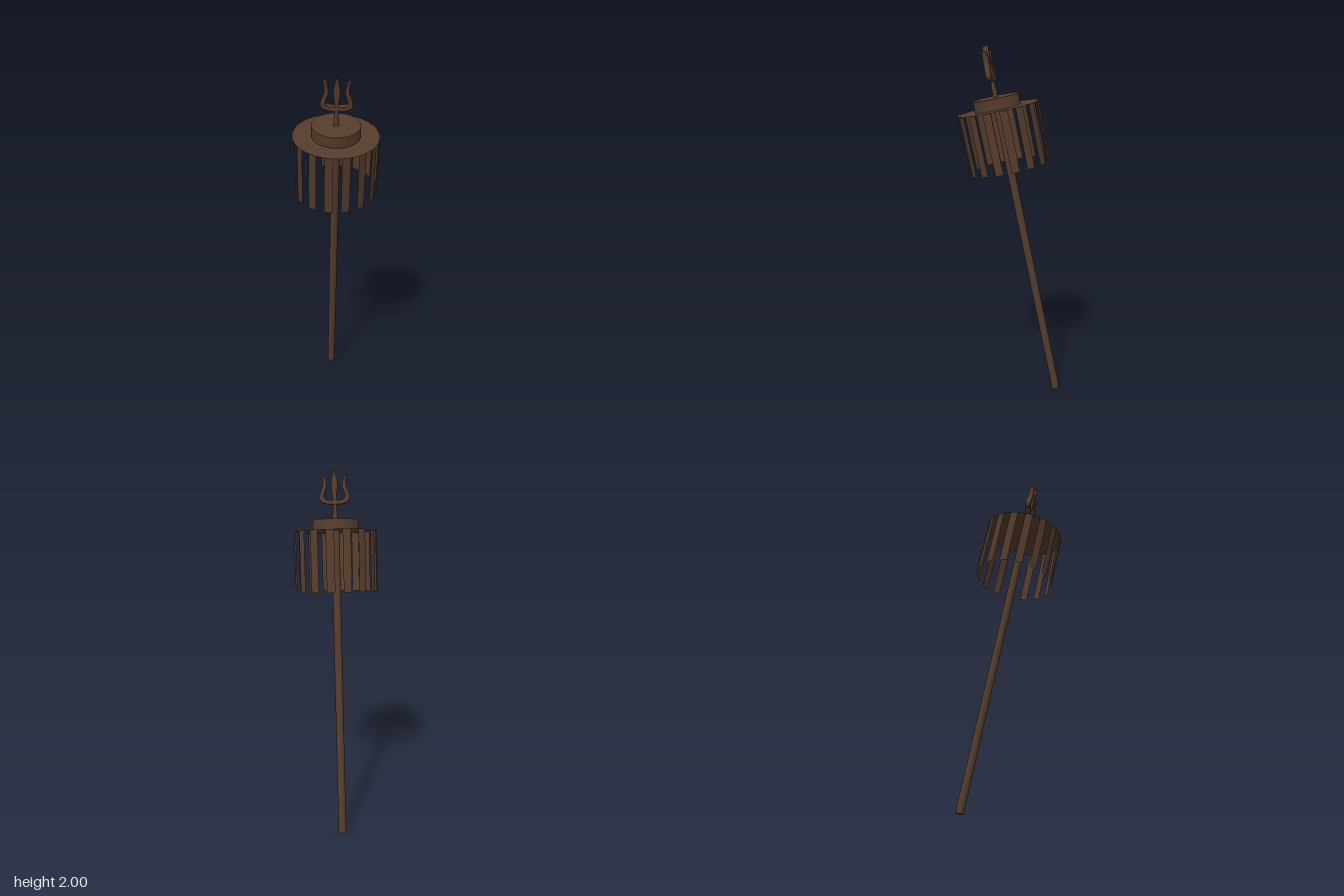
import * as THREE from 'three';

const material = new THREE.MeshStandardMaterial({ color: 0x553c2c });
const thin = new THREE.MeshStandardMaterial({ color: 0x553c2c, side: THREE.DoubleSide });

function add(parent, name, geometry, y = 0, mat = material) {
  const mesh = new THREE.Mesh(geometry, mat);
  mesh.name = name;
  mesh.position.y = y;
  parent.add(mesh);
  return mesh;
}

const points = (list) => list.map(([x, y]) => new THREE.Vector2(x, y));
const mirrored = (list) => list.map(([x, y]) => [-x, y]).reverse();

// Flat fork: two S-curved prongs joined by a U-shaped bar
function forkShape() {
  const outer = [[0, 1.846], [0.04, 1.848], [0.07, 1.858], [0.081, 1.875], [0.081, 1.896],
    [0.073, 1.918], [0.064, 1.94], [0.061, 1.966], [0.064, 1.986], [0.07, 2.007]];
  const inner = [[0.056, 1.995], [0.046, 1.979], [0.041, 1.958], [0.043, 1.937],
    [0.052, 1.912], [0.057, 1.894], [0.054, 1.879], [0.04, 1.87], [0, 1.868]];
  const right = [...outer, ...inner];
  return new THREE.Shape(points([...right, ...mirrored(right.slice(1, -1))]));
}

// Leaf-shaped middle blade
function bladeShape() {
  const right = [[0.009, 1.86], [0.01, 1.885], [0.018, 1.945], [0.014, 1.985]];
  return new THREE.Shape(points([...right, [0, 2.034], ...mirrored(right)]));
}

function extruded(shape, depth) {
  return new THREE.ExtrudeGeometry(shape, { depth, bevelEnabled: false }).translate(0, 0, -depth / 2);
}

export function createModel() {
  const group = new THREE.Group();
  group.name = 'ceremonialParasol';

  // Everything is built upright along the pole, then leaned forward
  const staff = new THREE.Group();
  staff.name = 'leaningStaff';
  staff.position.set(-0.047, 0.0045, -0.27);
  staff.quaternion.setFromUnitVectors(
    new THREE.Vector3(0, 1, 0), new THREE.Vector3(0.03, 1, 0.202).normalize());
  group.add(staff);

  const canopyY = 1.702, radius = 0.226, drop = 0.328, segments = 32;

  add(staff, 'pole', new THREE.CylinderGeometry(0.022, 0.022, canopyY, 24), canopyY / 2);

  // Canopy disc and the raised drum on it
  add(staff, 'canopyDisc', new THREE.CircleGeometry(radius, segments).rotateX(-Math.PI / 2), canopyY, thin);
  add(staff, 'canopyDrum', new THREE.CylinderGeometry(0.127, 0.127, 0.06, 48), canopyY + 0.03);

  // Hanging strips fill every second segment of the rim
  const fringe = new THREE.Group();
  fringe.name = 'fringe';
  staff.add(fringe);
  const step = (Math.PI * 2) / segments;
  for (let i = 1; i < segments; i += 2) {
    add(fringe, 'fringeStrip',
      new THREE.CylinderGeometry(radius, radius, drop, 1, 1, true, i * step, step),
      canopyY - drop / 2, thin);
  }

  // Trident finial
  const trident = new THREE.Group();
  trident.name = 'trident';
  staff.add(trident);
  add(trident, 'tridentStem', new THREE.CylinderGeometry(0.009, 0.015, 0.1, 12), 1.808);
  add(trident, 'tridentFork', extruded(forkShape(), 0.03));
  add(trident, 'tridentBlade', extruded(bladeShape(), 0.031));

  return group;
}
